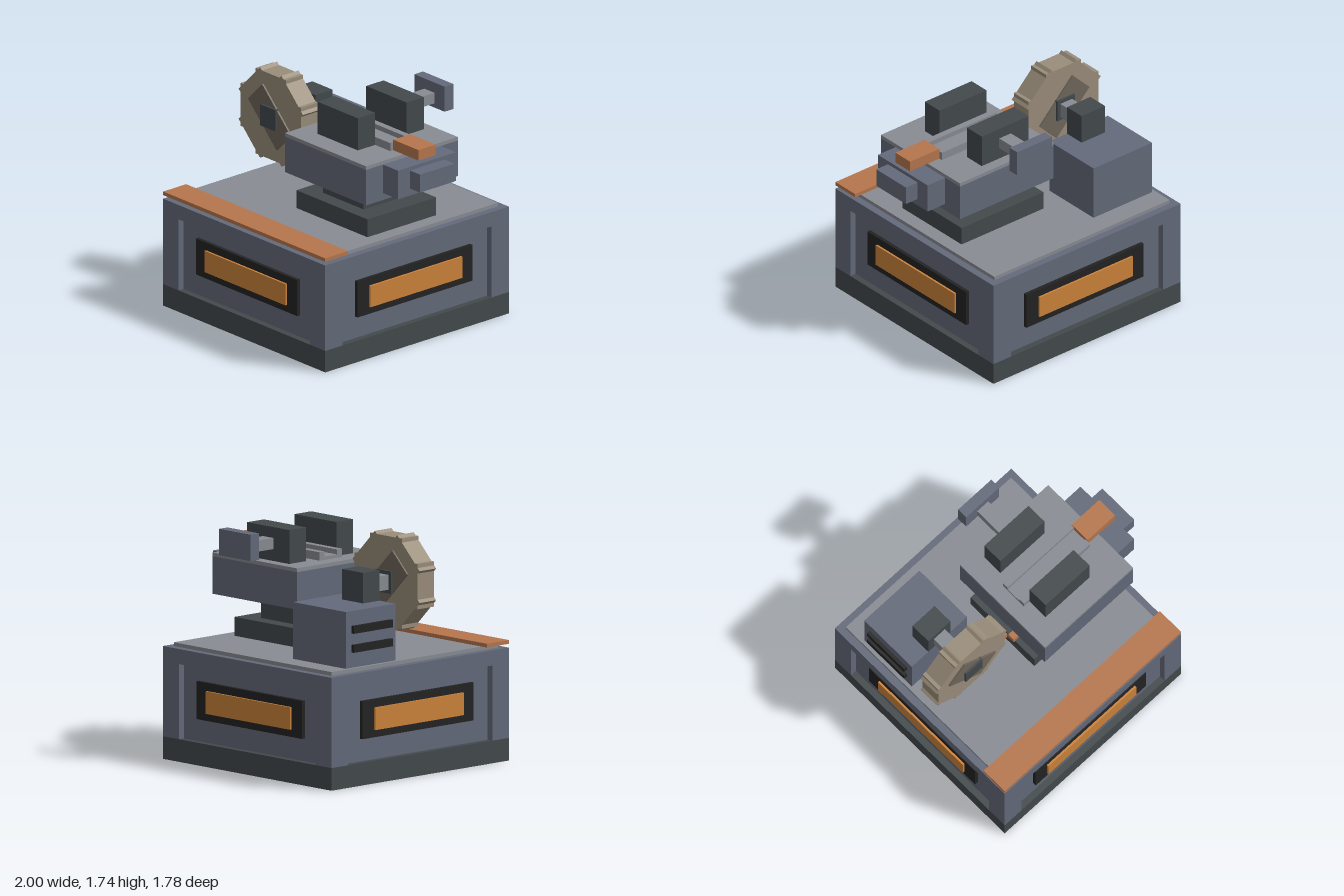
import * as THREE from 'three';

const mat = (name, color) => {
  const m = new THREE.MeshStandardMaterial({ color });
  m.name = name;
  return m;
};

export function createModel() {
  const slate = mat('slate', 0x646a7a);
  const steel = mat('steel', 0x888c93);
  const iron = mat('iron', 0x43494c);
  const black = mat('black', 0x232323);
  const glow = mat('orange', 0xcc823a);
  const copper = mat('copper', 0xb5764d);
  const tan = mat('tan', 0x9a8d7a);
  const brown = mat('brown', 0x6e675b);

  const model = new THREE.Group();
  model.name = 'machine';

  // Box given by its minimum and maximum on each axis
  const box = (name, m, x0, x1, y0, y1, z0, z1, parent = model) => {
    const mesh = new THREE.Mesh(new THREE.BoxGeometry(x1 - x0, y1 - y0, z1 - z0), m);
    mesh.position.set((x0 + x1) / 2, (y0 + y1) / 2, (z0 + z1) / 2);
    mesh.name = name;
    parent.add(mesh);
    return mesh;
  };

  // Cabinet: plinth, recessed core, corner posts and top rim
  const cabinet = new THREE.Group();
  cabinet.name = 'cabinet';
  cabinet.position.x = -0.111;
  model.add(cabinet);
  const H = 0.889, R = 0.05, P = 0.167, C = H - R;
  box('plinth', iron, -H, H, 0, 0.167, -H, H, cabinet);
  box('cabinetCore', slate, -C, C, 0.167, 0.722, -C, C, cabinet);
  box('cabinetRim', slate, -H, H, 0.722, 0.833, -H, H, cabinet);
  for (const sx of [-1, 1]) for (const sz of [-1, 1]) {
    const c = H - P / 2;
    const post = box('cornerPost', slate, -P / 2, P / 2, 0.167, 0.722, -P / 2, P / 2, cabinet);
    post.position.x = sx * c;
    post.position.z = sz * c;
  }
  box('deck', steel, -0.833, 0.833, 0.833, 0.861, -0.833, 0.833, cabinet);
  box('frontStrip', copper, -H, H, 0.861, 0.889, 0.667, H, cabinet);

  // Glowing window in the recess of each side
  for (let i = 0; i < 4; i++) {
    const side = new THREE.Group();
    side.name = 'sideWindow';
    side.rotation.y = i * Math.PI / 2;
    box('windowFrame', black, -0.556, 0.556, 0.335, 0.615, C - 0.01, C + 0.028, side);
    box('windowPane', glow, -0.444, 0.444, 0.39, 0.556, C, C + 0.044, side);
    cabinet.add(side);
  }

  // Motor with side vents, bearing and shaft
  box('motor', slate, -0.917, -0.361, 0.861, 1.28, -0.667, -0.17, model);
  for (const y of [0.975, 1.115])
    box('motorVent', black, -0.944, -0.917, y, y + 0.056, -0.611, -0.222);
  box('bearing', iron, -0.75, -0.528, 1.28, 1.505, -0.335, -0.17);
  box('shaft', steel, -0.695, -0.584, 1.335, 1.445, -0.17, 0.02);

  // Grinding wheel made of four crossed slabs, with a clamp and a hub
  const wheel = new THREE.Group();
  wheel.name = 'wheel';
  wheel.position.set(-0.639, 1.39, 0.083);
  model.add(wheel);
  for (let i = 0; i < 4; i++) {
    const slab = box('wheelSlab', tan, -0.333, 0.333, -0.167, 0.167, -0.083, 0.083, wheel);
    slab.rotation.z = i * Math.PI / 4;
  }
  const clamp = box('wheelClamp', brown, -0.222, 0.222, -0.111, 0.111, -0.097, 0.097, wheel);
  clamp.rotation.z = -Math.PI / 4;
  box('hub', iron, -0.083, 0.083, -0.083, 0.083, -0.112, 0.112, wheel);

  // Flying chips
  for (const [x, y, z] of [[-0.25, 1.17, 0.08], [-0.21, 1.04, -0.01], [-0.17, 1.085, 0.12]]) {
    const s = 0.028;
    box('chip', copper, x - s, x + s, y - s, y + s, z - s, z + s);
  }

  // Work head on its pedestal
  box('pedestal', iron, -0.167, 0.611, 0.861, 1, -0.333, 0.333);
  box('neck', iron, 0, 0.444, 1, 1.17, -0.222, 0.222);
  box('head', slate, -0.167, 0.722, 1.17, 1.447, -0.444, 0.444);
  box('headPlate', steel, -0.167, 0.722, 1.447, 1.475, -0.444, 0.444);
  box('spindle', slate, 0.722, 0.889, 1.225, 1.447, -0.28, 0.28);
  box('spindleEnd', slate, 0.889, 1, 1.28, 1.42, -0.167, 0.167);

  // Vice: tray with two rails, jaws and workpiece
  box('trayFloor', steel, -0.056, 0.611, 1.475, 1.5, -0.111, 0.111);
  for (const z of [-0.111, 0.061])
    box('trayRail', steel, -0.056, 0.611, 1.475, 1.537, z, z + 0.05);
  box('rearJaw', iron, 0, 0.444, 1.475, 1.725, -0.362, -0.195);
  box('frontJaw', iron, 0, 0.444, 1.475, 1.725, 0.111, 0.278);
  box('workpiece', copper, 0.611, 0.889, 1.475, 1.557, -0.083, 0.083);

  // Clamp handle behind the rear jaw
  box('handleBar', steel, 0.167, 0.278, 1.563, 1.645, -0.611, -0.362);
  box('handleGrip', slate, 0.056, 0.389, 1.53, 1.725, -0.695, -0.611);

  return model;
}
